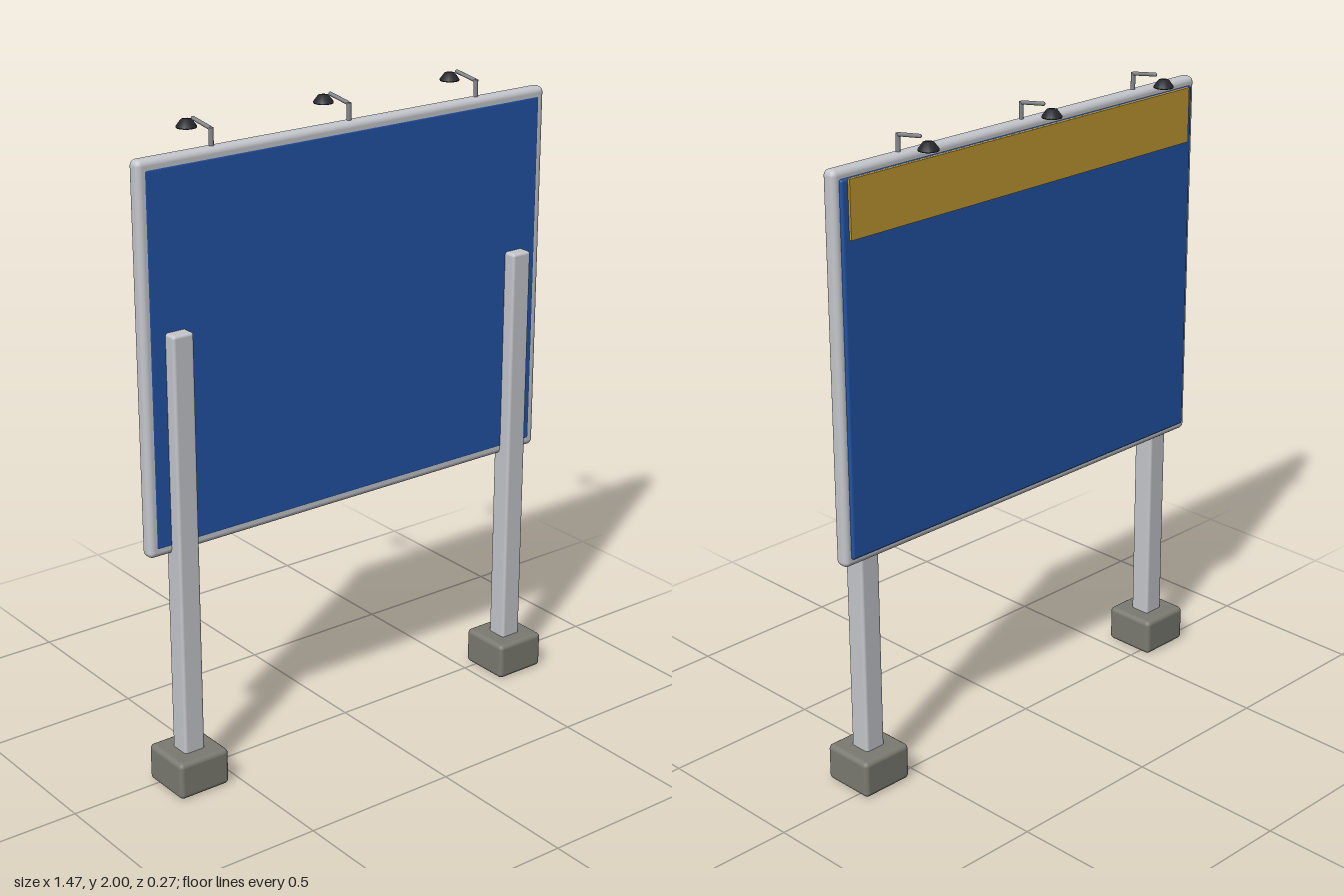
import * as THREE from 'three';
import { RoundedBoxGeometry } from 'three/addons/geometries/RoundedBoxGeometry.js';

const mat = (name, color, side = THREE.FrontSide) => {
  const m = new THREE.MeshStandardMaterial({ color, side });
  m.name = name;
  return m;
};

export function createModel() {
  const model = new THREE.Group();
  model.name = 'signBoard';

  const steel = mat('lightSteel', 0xc4c7cc);
  const blue = mat('boardBlue', 0x2254a6);
  const gold = mat('bannerGold', 0xc49a34);
  const concrete = mat('concrete', 0x7b7b72);
  const armGrey = mat('armGrey', 0x85888e);
  const dark = mat('shadeBlack', 0x25272c, THREE.DoubleSide);

  const add = (name, geometry, material, x = 0, y = 0, z = 0) => {
    const mesh = new THREE.Mesh(geometry, material);
    mesh.name = name;
    mesh.position.set(x, y, z);
    model.add(mesh);
    return mesh;
  };
  // Rounded box given by its lower and upper corners
  const block = (name, material, [x0, y0, z0], [x1, y1, z1], r) =>
    add(name, new RoundedBoxGeometry(x1 - x0, y1 - y0, z1 - z0, 3, r), material,
      (x0 + x1) / 2, (y0 + y1) / 2, (z0 + z1) / 2);

  // Board, standing slightly proud of its frame
  block('boardPanel', blue, [-0.713, 0.783, -0.015], [0.713, 1.908, 0.042], 0.008);

  // Rounded frame bars
  const z0 = -0.006, z1 = 0.041, w = 0.047, r = 0.018;
  block('frameTop', steel, [-0.735, 1.934 - w, z0], [0.735, 1.934, z1], r);
  block('frameBottom', steel, [-0.735, 0.758, z0], [0.735, 0.758 + w, z1], r);
  block('frameRight', steel, [-0.735, 0.758, z0], [-0.735 + w, 1.934, z1], r);
  block('frameLeft', steel, [0.735 - w, 0.758, z0], [0.735, 1.934, z1], r);

  // Header band on the back of the board
  add('headerBand', new THREE.BoxGeometry(1.38, 0.172, 0.009), gold, 0, 1.822, -0.0185);

  // Posts and footings
  for (const s of [-1, 1]) {
    const x = s * 0.626;
    block('post', steel, [x - 0.035, 0.05, 0.013], [x + 0.035, 1.433, 0.082], 0.009);
    block('footing', concrete, [x - 0.087, 0, -0.04], [x + 0.087, 0.118, 0.134], 0.015);
  }

  // Lamps: bent arm and domed shade
  const armPath = new THREE.CurvePath();
  const foot = new THREE.Vector3(0, 1.92, 0.018);
  const bend = new THREE.Vector3(0, 1.982, 0.018);
  const tip = new THREE.Vector3(0, 1.994, -0.07);
  armPath.add(new THREE.LineCurve3(foot, bend));
  armPath.add(new THREE.LineCurve3(bend, tip));
  const riser = new THREE.CylinderGeometry(0.007, 0.007, 0.07, 12);
  const reach = new THREE.TubeGeometry(armPath.curves[1], 1, 0.006, 12);
  const armEnd = new THREE.SphereGeometry(0.006, 12, 8);
  const shade = new THREE.LatheGeometry(
    [[0, 0], [0.03, 0], [0.03, 0.004], [0.016, 0.023], [0, 0.025]].map(([x, y]) => new THREE.Vector2(x, y)), 16);
  for (const x of [-0.477, 0, 0.477]) {
    add('lampRiser', riser, armGrey, x, 1.95, 0.018);
    add('lampArm', reach, armGrey, x);
    add('lampArmEnd', armEnd, armGrey, x, tip.y, tip.z);
    add('lampShade', shade, dark, x, 1.961, -0.104);
  }

  return model;
}
